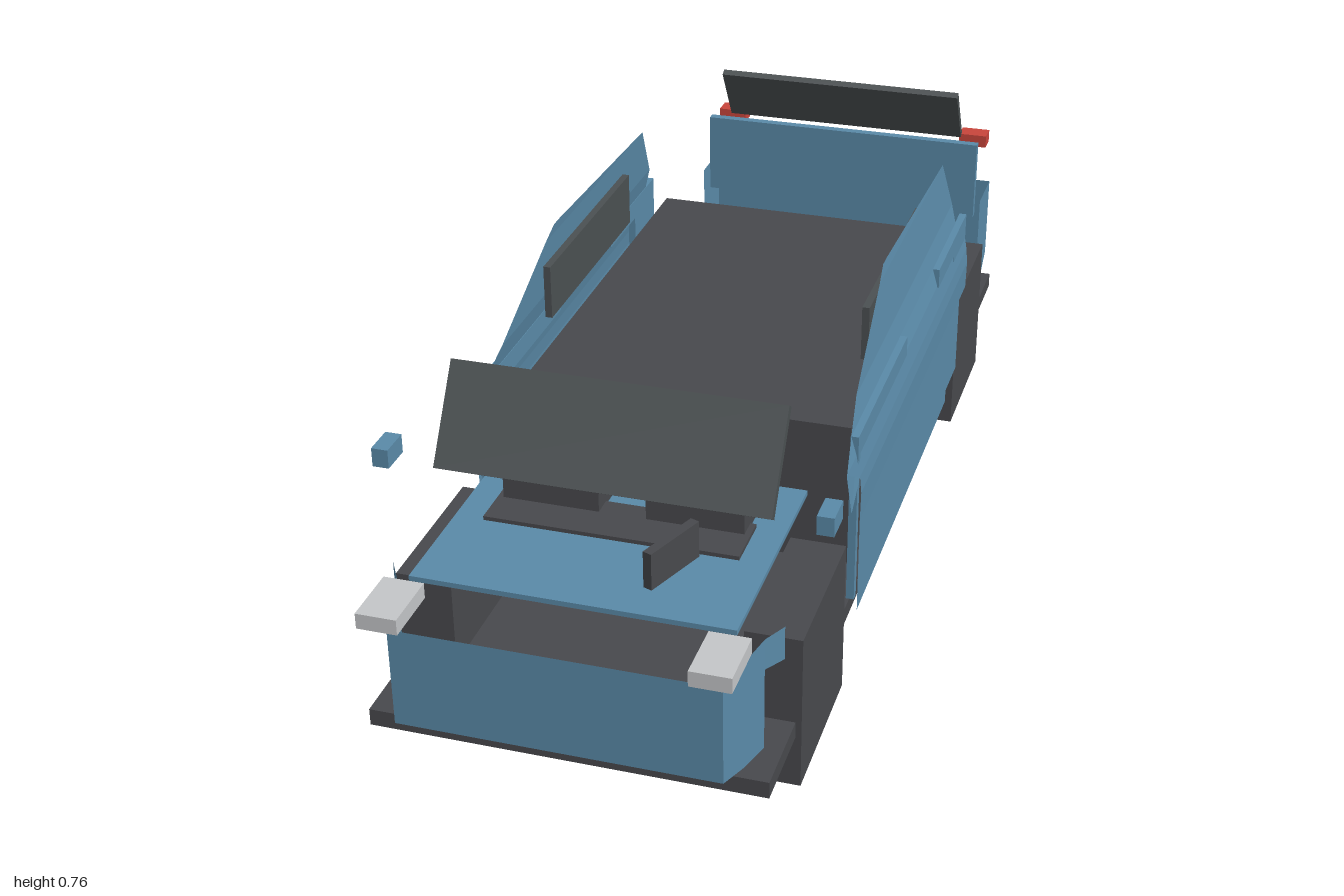
import * as THREE from 'three';

const mat = (name, color, side = THREE.FrontSide) => {
  const m = new THREE.MeshStandardMaterial({ color, side });
  m.name = name;
  return m;
};

export function createModel() {
  const car = new THREE.Group();
  car.name = 'car';
  const blue = mat('blue paint', 0x5a8aa8, THREE.DoubleSide);
  const dark = mat('dark grey', 0x48494d);
  const glass = mat('glass grey', 0x4b5052);
  const white = mat('lamp white', 0xc4c6c8);
  const red = mat('lamp red', 0xc8453c);

  const add = (name, geometry, material) => {
    const m = new THREE.Mesh(geometry, material);
    m.name = name;
    car.add(m);
    return m;
  };
  // Box given by its extents along each axis
  const box = (name, material, x0, x1, y0, y1, z0, z1) => {
    const m = add(name, new THREE.BoxGeometry(Math.abs(x1 - x0), y1 - y0, z1 - z0), material);
    m.position.set((x0 + x1) / 2, (y0 + y1) / 2, (z0 + z1) / 2);
    return m;
  };
  // Sheet spanning successive pairs of points
  const sheet = (name, material, pairs) => {
    const pos = [];
    for (let i = 0; i + 1 < pairs.length; i++) {
      const [a, b] = pairs[i], [c, d] = pairs[i + 1];
      for (const p of [a, b, d, a, d, c]) pos.push(...p);
    }
    const g = new THREE.BufferGeometry();
    g.setAttribute('position', new THREE.Float32BufferAttribute(pos, 3));
    g.computeVertexNormals();
    return add(name, g, material);
  };

  // Floor, chassis and stand fin
  box('floor', dark, -0.33, 0.33, 0.24, 0.27, -0.952, 0.918);
  box('chassis', dark, -0.208, 0.208, 0.205, 0.24, -0.435, 0.432);
  box('fin', dark, -0.008, 0.008, 0, 0.103, -0.335, -0.065);

  // Cabin tub and engine
  box('cabinTub', dark, -0.3, 0.3, 0.27, 0.542, -0.558, 0.29);
  box('cabinNose', dark, -0.172, 0.172, 0.27, 0.542, 0.29, 0.4);
  box('engineBlock', dark, -0.215, 0.215, 0.46, 0.512, 0.585, 0.685);
  const fan = box('engineFan', dark, 0.115, 0.131, 0.455, 0.57, 0.685, 0.805);
  fan.rotation.y = -0.36;

  // Hood, rear panel, windscreen and rear window
  box('hood', blue, -0.265, 0.265, 0.496, 0.505, 0.45, 0.87);
  box('rearPanel', blue, -0.298, 0.298, 0.44, 0.607, -0.886, -0.868);
  const windscreen = box('windscreen', glass, -0.278, 0.278, 0.597, 0.773, 0.664, 0.68);
  windscreen.position.set(0, 0.684, 0.67);
  windscreen.rotation.x = -0.58;
  const rearWindow = box('rearWindow', glass, -0.257, 0.257, 0.603, 0.737, -0.876, -0.862);
  rearWindow.position.set(0, 0.671, -0.869);
  rearWindow.rotation.x = 0.55;

  // Front and rear bumper faces
  sheet('frontBumper', blue, [
    [[-0.268, 0.283, 0.955], [-0.268, 0.46, 0.955]],
    [[0.268, 0.283, 0.955], [0.268, 0.46, 0.955]],
  ]);
  sheet('rearBumper', blue, [
    [[-0.312, 0.31, -0.982], [-0.312, 0.48, -0.982]],
    [[0.312, 0.31, -0.982], [0.312, 0.48, -0.982]],
  ]);

  // Body side rows: y, x, front z, back z
  const sideRows = [
    [0.25, 0.344, 0.4, -0.375],
    [0.275, 0.344, 0.4, -0.375],
    [0.275, 0.344, 0.4, -0.478],
    [0.43, 0.344, 0.4, -0.478],
    [0.43, 0.344, 0.4, -0.543],
    [0.485, 0.345, 0.4, -0.543],
    [0.515, 0.342, 0.4, -0.543],
    [0.555, 0.335, 0.468, -0.543],
    [0.59, 0.325, 0.4, -0.543],
    [0.59, 0.325, 0.4, -0.495],
    [0.63, 0.316, 0.33, -0.495],
    [0.74, 0.306, 0.127, -0.425],
    [0.76, 0.303, 0.09, 0.06],
  ];

  for (const s of [1, -1]) {
    const side = s > 0 ? 'left' : 'right';
    const sbox = (name, m, x0, x1, ...rest) => box(side + name, m, s * x0, s * x1, ...rest);
    const ssheet = (name, m, pairs) =>
      sheet(side + name, m, pairs.map((r) => r.map(([x, y, z]) => [s * x, y, z])));

    sbox('FrontWheel', dark, 0.245, 0.34, 0.146, 0.428, 0.48, 0.762);
    sbox('RearWheel', dark, 0.245, 0.34, 0.146, 0.428, -0.762, -0.48);
    sbox('CylinderHead', dark, 0.04, 0.205, 0.385, 0.552, 0.455, 0.62);
    sbox('Headlight', white, 0.228, 0.295, 0.487, 0.514, 0.895, 1);
    sbox('TailLight', red, 0.243, 0.302, 0.567, 0.593, -1, -0.96);
    sbox('Mirror', blue, 0.35, 0.378, 0.607, 0.64, 0.68, 0.735);
    sbox('SideWindow', glass, 0.285, 0.298, 0.61, 0.71, -0.275, 0.165);

    // Side skin with a wedge running out to the front pillar
    ssheet('BodySide', blue, sideRows.map(([y, x, zf, zb]) => [[x, y, zf], [x, y, zb]]));
    ssheet('PillarWedge', blue, [
      [[0.345, 0.485, 0.47], [0.335, 0.555, 0.47]],
      [[0.342, 0.515, 0.4], [0.335, 0.555, 0.4]],
    ]);

    // Raised shoulder trims with a leg at their outer ends
    sbox('FrontTrim', blue, 0.324, 0.338, 0.552, 0.59, 0.02, 0.4);
    sbox('FrontTrimLeg', blue, 0.324, 0.338, 0.27, 0.59, 0.385, 0.4);
    sbox('RearTrim', blue, 0.324, 0.338, 0.552, 0.59, -0.543, -0.27);
    sbox('RearTrimLeg', blue, 0.324, 0.338, 0.43, 0.59, -0.543, -0.42);

    // Bumper wings
    ssheet('FrontBumperWing', blue, [
      [[0.268, 0.283, 0.955], [0.268, 0.46, 0.955]],
      [[0.284, 0.272, 0.895], [0.284, 0.469, 0.895]],
      [[0.3, 0.272, 0.84], [0.3, 0.476, 0.84]],
      [[0.3, 0.42, 0.84], [0.3, 0.476, 0.84]],
      [[0.322, 0.42, 0.805], [0.322, 0.48, 0.805]],
    ]);
    ssheet('RearBumperWing', blue, [
      [[0.312, 0.31, -0.982], [0.312, 0.48, -0.982]],
      [[0.312, 0.272, -0.93], [0.312, 0.48, -0.93]],
      [[0.312, 0.272, -0.867], [0.312, 0.48, -0.867]],
    ]);
  }
  return car;
}
